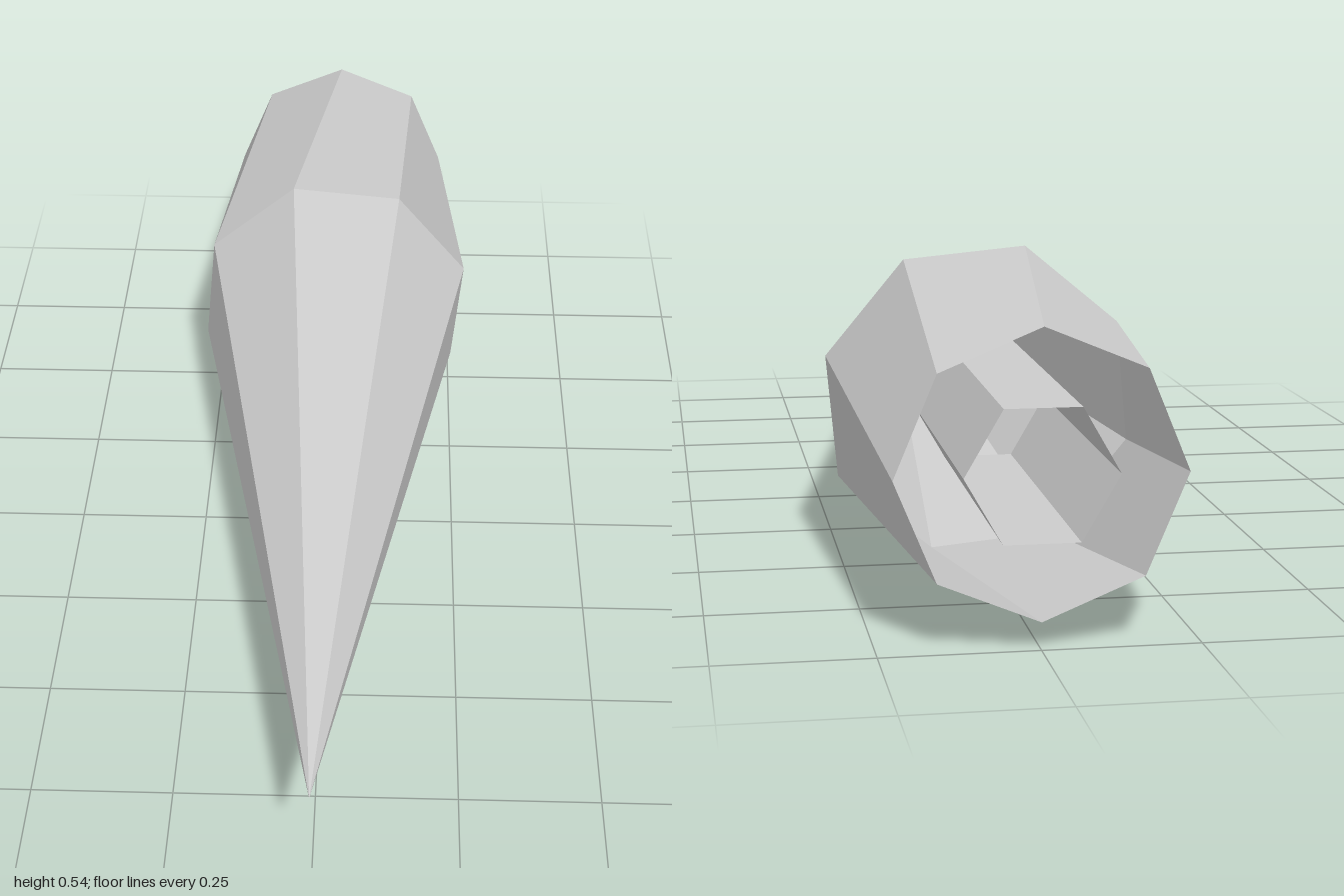
import * as THREE from 'three';

const AXIS_Y = 0.27;
const grey = new THREE.MeshStandardMaterial({ color: 0xcccccc, side: THREE.DoubleSide });
grey.name = 'plain grey';

// Faceted open tube along z through rings of [z, radius, turn in degrees];
// every four-sided facet gets one flat normal
function facetedTube(rings, sides) {
  const positions = [], normals = [];
  const corner = ([z, r, turn], i) => {
    const a = THREE.MathUtils.degToRad(turn) + (i / sides) * Math.PI * 2;
    return new THREE.Vector3(r * Math.cos(a), AXIS_Y + r * Math.sin(a), z);
  };
  for (let k = 0; k < rings.length - 1; k++) {
    for (let i = 0; i < sides; i++) {
      const a0 = corner(rings[k], i), a1 = corner(rings[k], i + 1);
      const b0 = corner(rings[k + 1], i), b1 = corner(rings[k + 1], i + 1);
      const normal = b1.clone().sub(a0).cross(b0.clone().sub(a1)).normalize();
      const pointed = rings[k + 1][1] === 0;
      const corners = pointed ? [a0, a1, b0] : [a0, a1, b0, a1, b1, b0];
      for (const p of corners) {
        positions.push(p.x, p.y, p.z);
        normals.push(normal.x, normal.y, normal.z);
      }
    }
  }
  const geometry = new THREE.BufferGeometry();
  geometry.setAttribute('position', new THREE.Float32BufferAttribute(positions, 3));
  geometry.setAttribute('normal', new THREE.Float32BufferAttribute(normals, 3));
  // facets that meet in a point take their normal from their own triangle
  const pos = geometry.attributes.position, nor = geometry.attributes.normal;
  const flat = geometry.clone();
  flat.computeVertexNormals();
  for (let i = 0; i < pos.count; i++) {
    const n = new THREE.Vector3().fromBufferAttribute(nor, i);
    if (n.length() < 0.5) {
      n.fromBufferAttribute(flat.attributes.normal, i);
      nor.setXYZ(i, n.x, n.y, n.z);
    }
  }
  return geometry;
}

function part(name, rings, sides) {
  const mesh = new THREE.Mesh(facetedTube(rings, sides), grey);
  mesh.name = name;
  return mesh;
}

export function createModel() {
  const group = new THREE.Group();
  group.name = 'pointedDart';
  // Eight-sided shell: slightly twisted rear section, open at the back
  group.add(part('rearShell', [[-1, 0.226, 0], [-0.4, 0.2825, 17.1]], 8));
  // Long pointed nose
  group.add(part('noseCone', [[-0.4, 0.2825, 17.1], [1, 0, 17.1]], 8));
  // Six-sided open tube inside the back
  group.add(part('innerTube', [[-1, 0.12, 0], [-0.4, 0.12, 0]], 6));
  return group;
}
